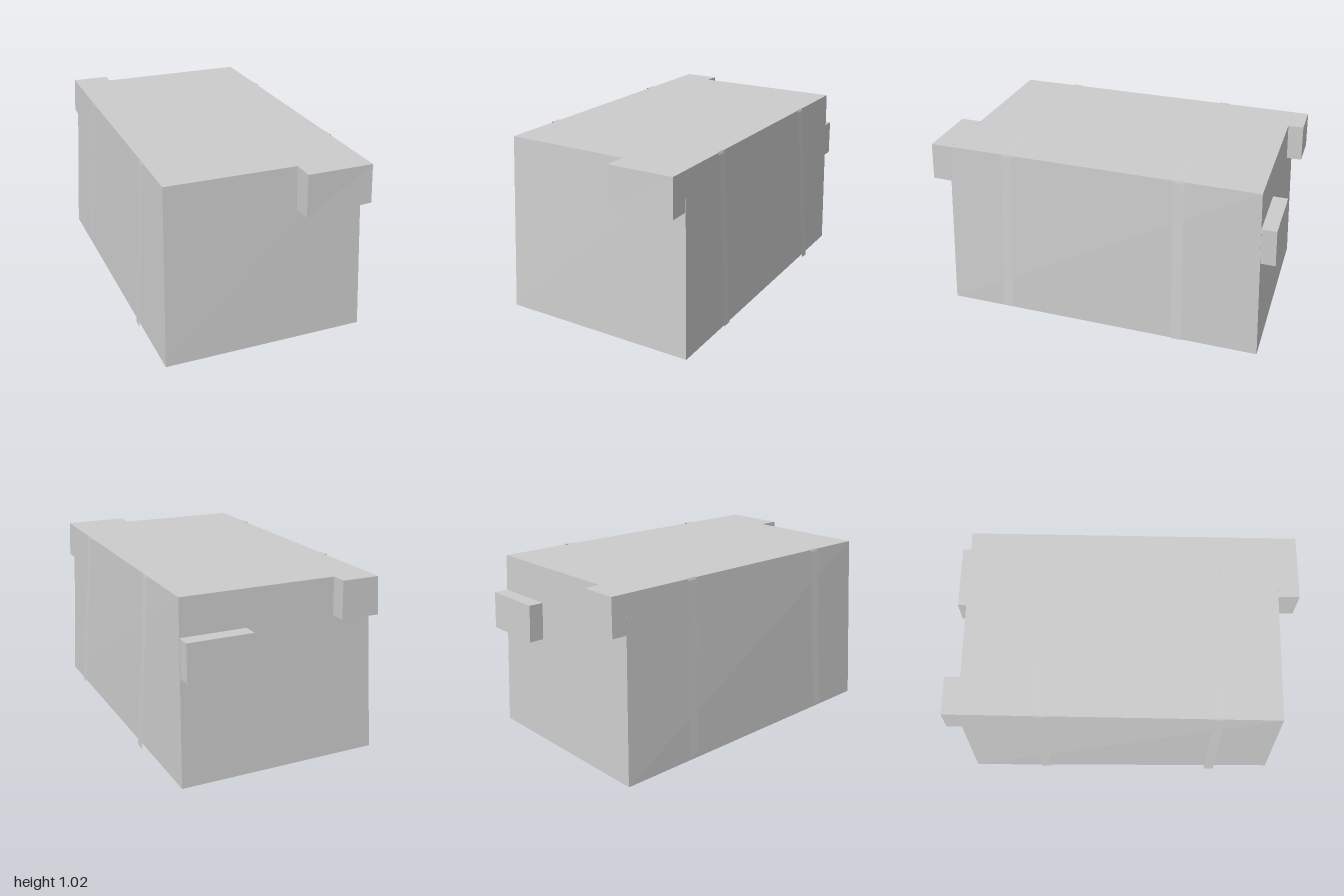
import * as THREE from 'three';

const shell = new THREE.MeshStandardMaterial({ color: 0xcccccc, side: THREE.DoubleSide });
shell.name = 'light grey';

// Six-sided solid from four bottom and four top corners, in the order
// front -x, front +x, back +x, back -x. The base may be left open.
function hexahedron(name, b, t, closedBase = true) {
  const quads = [t];
  for (let i = 0; i < 4; i++) {
    const j = (i + 1) % 4;
    quads.push([b[i], b[j], t[j], t[i]]);
  }
  if (closedBase) quads.push([...b].reverse());
  const positions = quads.flatMap(([p, q, r, s]) => [p, q, r, p, r, s].flat());
  const geometry = new THREE.BufferGeometry();
  geometry.setAttribute('position', new THREE.Float32BufferAttribute(positions, 3));
  geometry.computeVertexNormals();
  const mesh = new THREE.Mesh(geometry, shell);
  mesh.name = name;
  return mesh;
}

// Thin band folded over the body; the legs lean outward along z.
function strap(name, zTop, zBottom) {
  const profile = [
    [-0.615, 0.04, zBottom], [-0.562, 1.0, zTop], [-0.55, 1.022, zTop],
    [0.54, 1.022, zTop], [0.552, 1.0, zTop], [0.615, 0.04, zBottom],
  ];
  const positions = [], index = [];
  profile.forEach(([x, y, z], i) => {
    positions.push(x, y, z + 0.03, x, y, z - 0.03);
    if (i > 0) {
      const a = 2 * i - 2;
      index.push(a, a + 2, a + 3, a, a + 3, a + 1);
    }
  });
  const geometry = new THREE.BufferGeometry();
  geometry.setAttribute('position', new THREE.Float32BufferAttribute(positions, 3));
  geometry.setIndex(index);
  geometry.computeVertexNormals();
  const mesh = new THREE.Mesh(geometry, shell);
  mesh.name = name;
  return mesh;
}

export function createModel() {
  const model = new THREE.Group();
  model.name = 'strappedCrate';
  const top = 1.015;

  // Tapered body, open underneath
  model.add(hexahedron('body',
    [[-0.578, 0, 0.93], [0.58, 0, 0.925], [0.555, 0, -0.947], [-0.605, 0, -0.942]],
    [[-0.555, top, 0.872], [0.545, top, 0.876], [0.545, top, -0.898], [-0.555, top, -0.893]],
    false));

  // Front corner block with a slanted underside
  model.add(hexahedron('frontBlock',
    [[0.172, 0.775, 1], [0.55, 0.8, 1], [0.55, 0.8, 0.888], [0.172, 0.775, 0.888]],
    [[0.172, top, 0.995], [0.545, top, 0.99], [0.545, top, 0.876], [0.172, top, 0.875]]));

  // Back corner block, flush with the top
  model.add(hexahedron('backCornerBlock',
    [[-0.565, 0.805, -0.903], [-0.34, 0.805, -0.903], [-0.34, 0.805, -0.99], [-0.565, 0.805, -0.99]],
    [[-0.555, top, -0.893], [-0.34, top, -0.893], [-0.34, top, -0.982], [-0.555, top, -0.982]]));

  // Lower block on the other side of the back
  model.add(hexahedron('backLowerBlock',
    [[0.175, 0.6, -0.916], [0.545, 0.6, -0.917], [0.545, 0.6, -1], [0.175, 0.6, -1]],
    [[0.175, 0.81, -0.905], [0.545, 0.81, -0.906], [0.545, 0.81, -0.99], [0.175, 0.81, -0.99]]));

  // Two straps
  model.add(strap('frontStrap', 0.525, 0.555));
  model.add(strap('backStrap', -0.46, -0.49));

  return model;
}
